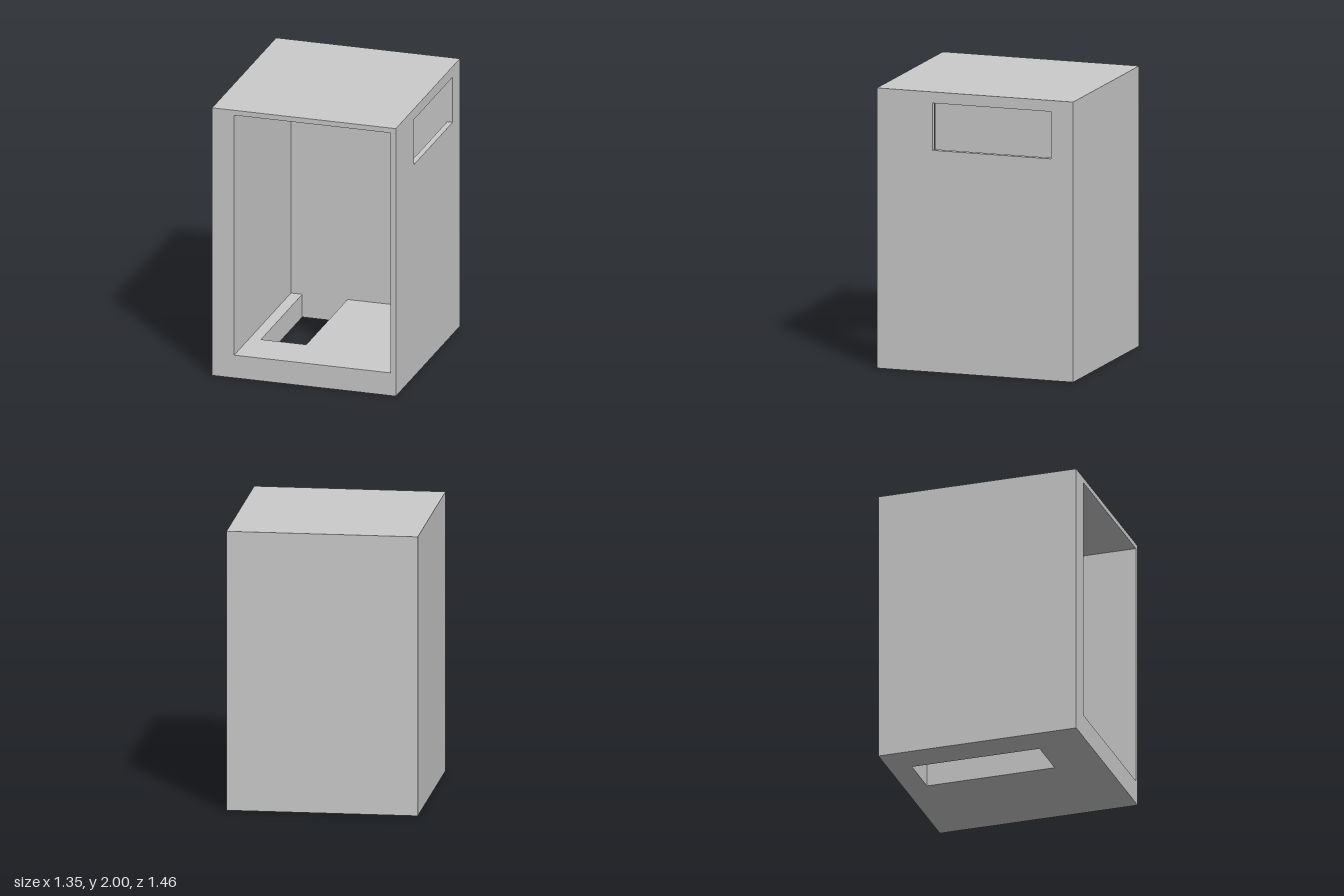
import * as THREE from 'three';
import { mergeGeometries } from 'three/addons/utils/BufferGeometryUtils.js';

// Cabinet half sizes and height
const W = 0.675, H = 2, D = 0.73;
// Inner cavity (open at the front)
const L = -0.513, R = 0.635, F = 0.17, C = 1.963, B = -0.565;
// Side window (z, y) and floor slot (x, z); both start at the inner back wall
const WZ = 0.315, WY0 = 1.583, WY1 = 1.92;
const SX0 = -0.43, SX1 = -0.097, SZ = 0.377;

const rect = (u0, v0, u1, v1) => [[u0, v0], [u1, v0], [u1, v1], [u0, v1]];
const toPoints = (loop) => loop.map(([u, v]) => new THREE.Vector2(u, v));

// Flat face across an axis, facing its + or - side.
// Outline coordinates: x -> (z, y), y -> (x, z), z -> (x, y)
function face(axis, sign, at, outline, hole) {
  const shape = new THREE.Shape(toPoints(outline));
  if (hole) shape.holes.push(new THREE.Path(toPoints(hole)));
  const g = new THREE.ShapeGeometry(shape);
  const p = g.attributes.position;
  for (let i = 0; i < p.count; i++) {
    const u = p.getX(i), v = p.getY(i);
    if (axis === 'x') p.setXYZ(i, at, v, u);
    else if (axis === 'y') p.setXYZ(i, u, at, v);
    else p.setXYZ(i, u, v, at);
  }
  // Reverse the corner order where the mapping turned the face round
  if ((axis === 'z' ? 1 : -1) !== sign) g.index.array.reverse();
  g.computeVertexNormals();
  return g;
}

export function createModel() {
  const group = new THREE.Group();
  const material = new THREE.MeshStandardMaterial({ color: 0xcccccc });
  const add = (name, faces) => {
    const mesh = new THREE.Mesh(mergeGeometries(faces), material);
    mesh.name = name;
    group.add(mesh);
  };

  // Outside of the cabinet
  add('outerShell', [
    face('z', 1, D, rect(-W, 0, W, H), rect(L, F, R, C)),
    face('z', -1, -D, rect(-W, 0, W, H)),
    face('x', 1, W, rect(-D, 0, D, H), rect(B, WY0, WZ, WY1)),
    face('x', -1, -W, rect(-D, 0, D, H)),
    face('y', 1, H, rect(-W, -D, W, D)),
    face('y', -1, 0, rect(-W, -D, W, D), rect(SX0, B, SX1, SZ)),
  ]);

  // Cavity walls, notched where the window and slot meet the back
  add('innerWalls', [
    face('x', 1, L, rect(B, F, D, C)),
    face('x', -1, R, [[B, F], [D, F], [D, C], [B, C], [B, WY1], [WZ, WY1], [WZ, WY0], [B, WY0]]),
    face('y', -1, C, rect(L, B, R, D)),
    face('y', 1, F, [[L, B], [SX0, B], [SX0, SZ], [SX1, SZ], [SX1, B], [R, B], [R, D], [L, D]]),
    // Back wall runs on into the slot and the window
    face('z', 1, B, [
      [L, F], [SX0, F], [SX0, 0], [SX1, 0], [SX1, F], [R, F],
      [R, WY0], [W, WY0], [W, WY1], [R, WY1], [R, C], [L, C],
    ]),
  ]);

  // Thickness of the side wall around the window
  add('windowReveal', [
    face('y', 1, WY0, rect(R, B, W, WZ)),
    face('y', -1, WY1, rect(R, B, W, WZ)),
    face('z', -1, WZ, rect(R, WY0, W, WY1)),
  ]);

  // Thickness of the floor around the slot
  add('floorSlotReveal', [
    face('x', 1, SX0, rect(B, 0, SZ, F)),
    face('x', -1, SX1, rect(B, 0, SZ, F)),
    face('z', -1, SZ, rect(SX0, 0, SX1, F)),
  ]);

  return group;
}
